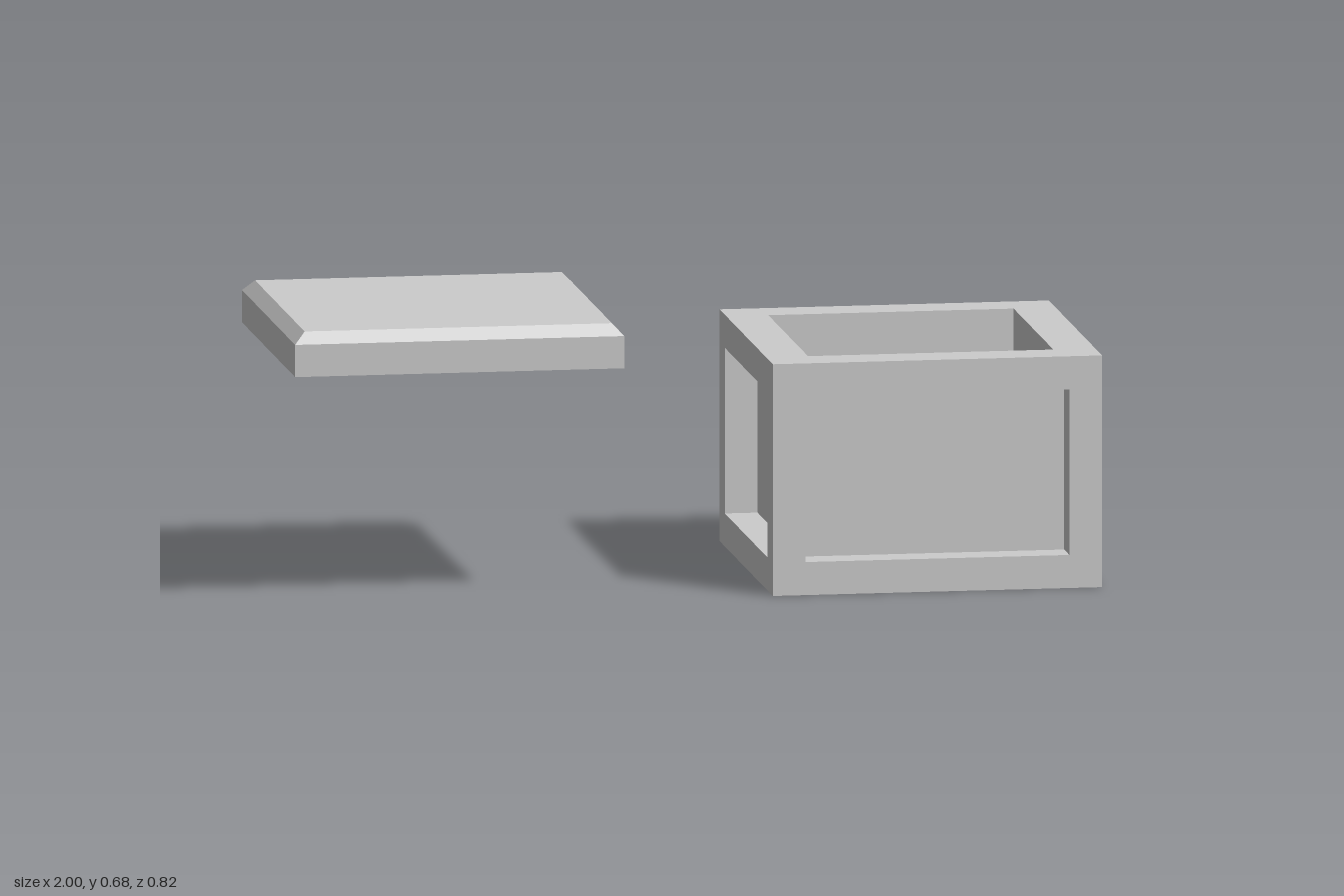
import * as THREE from 'three';

export function createModel() {
  const model = new THREE.Group();
  model.name = 'openCrateWithLid';
  const grey = new THREE.MeshStandardMaterial({ color: 0xcccccc, flatShading: true });
  grey.name = 'plain grey';

  const HALF = 0.408, INNER = 0.304, PANEL = 0.327, BOX_X = 0.592;
  const HEIGHT = 0.575, LOW = 0.082, HIGH = 0.493;

  function add(parent, name, geometry, x = 0, y = 0, z = 0) {
    const mesh = new THREE.Mesh(geometry, grey);
    mesh.name = name;
    mesh.position.set(x, y, z);
    parent.add(mesh);
    return mesh;
  }

  const square = (Type, h) => new Type([[-h, -h], [h, -h], [h, h], [-h, h]].map(p => new THREE.Vector2(...p)));

  // Upright square ring with its base at y = 0
  function squareRing(outer, inner, height) {
    const shape = square(THREE.Shape, outer);
    shape.holes.push(square(THREE.Path, inner));
    return new THREE.ExtrudeGeometry(shape, { depth: height, bevelEnabled: false }).rotateX(-Math.PI / 2);
  }

  // Crate: floor slab, thin walls, corner posts and top rim leave recessed panels
  const crate = new THREE.Group();
  crate.name = 'crate';
  crate.position.x = BOX_X;
  model.add(crate);
  add(crate, 'floorSlab', new THREE.BoxGeometry(HALF * 2, LOW, HALF * 2), 0, LOW / 2, 0);
  add(crate, 'panelWalls', squareRing(PANEL, INNER, HIGH - LOW), 0, LOW, 0);
  add(crate, 'topRim', squareRing(HALF, INNER, HEIGHT - HIGH), 0, HIGH, 0);
  const post = HALF - PANEL, mid = (HALF + PANEL) / 2;
  for (const sx of [-1, 1]) {
    for (const sz of [-1, 1]) {
      add(crate, 'cornerPost', new THREE.BoxGeometry(post, HIGH - LOW, post), sx * mid, (LOW + HIGH) / 2, sz * mid);
    }
  }

  // Discs lying on the crate floor, one resting on the others
  const disc = new THREE.CylinderGeometry(0.072, 0.072, 0.03, 12).rotateY(Math.PI / 12);
  const spots = [[0.45, 0, -0.01], [0.617, 0, -0.097], [0.608, 0, 0.07], [0.447, 0, 0.138], [0.54, 1, -0.045]];
  for (const [x, layer, z] of spots) {
    add(crate, 'disc', disc, x - BOX_X, LOW + 0.015 + layer * 0.03, z);
  }

  // Lid: slab with a chamfered top, set beside the crate
  const lid = new THREE.Group();
  lid.name = 'lid';
  lid.position.set(-BOX_X, HEIGHT, 0);
  model.add(lid);
  const lidSide = 0.08, chamfer = 0.028;
  add(lid, 'lidSlab', new THREE.BoxGeometry(HALF * 2, lidSide, HALF * 2), 0, lidSide / 2, 0);
  const bevel = new THREE.CylinderGeometry((HALF - chamfer) * Math.SQRT2, HALF * Math.SQRT2, chamfer, 4).rotateY(Math.PI / 4);
  add(lid, 'lidChamfer', bevel, 0, lidSide + chamfer / 2, 0);

  return model;
}
